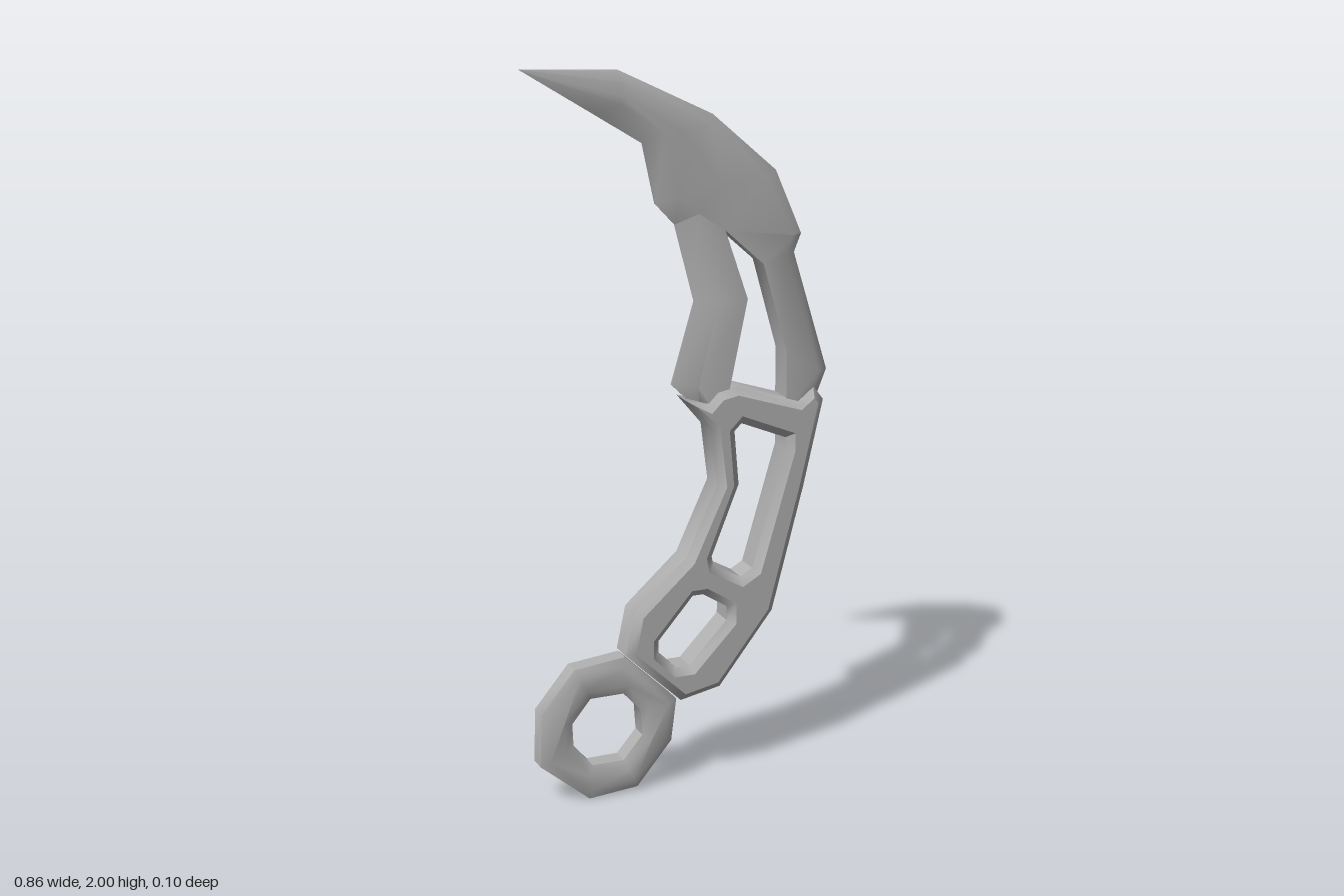
import * as THREE from 'three';
import { toCreasedNormals } from 'three/addons/utils/BufferGeometryUtils.js';

const steel = new THREE.MeshStandardMaterial({ color: 0xb0b0b0 });
steel.name = 'grey steel';

const toPoints = (list) => list.map(([x, y]) => new THREE.Vector2(x, y));

// Shallow chamfers shade softly, steeper edges stay sharp
function makeMesh(name, geometry) {
  const mesh = new THREE.Mesh(toCreasedNormals(geometry, 0.7), steel);
  mesh.name = name;
  return mesh;
}

// Plate with chamfered outline and holes, centred on z = 0.
// Outlines run counter-clockwise so that the hole walls face inwards.
function bevelledPlate(name, outline, holes, half, core, bevel) {
  const shape = new THREE.Shape(toPoints(outline));
  holes.forEach((h) => shape.holes.push(new THREE.Path(toPoints(h))));
  const geometry = new THREE.ExtrudeGeometry(shape, {
    depth: core * 2, bevelEnabled: true, bevelSegments: 1,
    bevelThickness: half - core, bevelSize: bevel, bevelOffset: -bevel,
  });
  geometry.translate(0, 0, -core);
  return makeMesh(name, geometry);
}

// Skin over cross-sections; every section runs from the cutting side to the
// spine as [x, y], with half thicknesses in zs, and is mirrored to the back
function loft(name, sections, zs) {
  const loops = sections.map((s) => {
    const tip = s.length === 1;
    const at = (i, side) => {
      const [x, y] = tip ? s[0] : s[i];
      return [x, y, tip ? 0 : zs[i] * side];
    };
    const index = zs.map((_, i) => i);
    return [...index.map((i) => at(i, 1)), ...index.reverse().map((i) => at(i, -1))];
  });
  const pos = [];
  const tri = (a, b, c) => pos.push(...a, ...b, ...c);
  const n = zs.length * 2;
  for (let k = 0; k < loops.length - 1; k++) {
    const toTip = sections[k + 1].length === 1;
    for (let i = 0; i < n; i++) {
      const j = (i + 1) % n;
      tri(loops[k][i], loops[k][j], loops[k + 1][j]);
      if (!toTip) tri(loops[k][i], loops[k + 1][j], loops[k + 1][i]);
    }
  }
  const geometry = new THREE.BufferGeometry();
  geometry.setAttribute('position', new THREE.Float32BufferAttribute(pos, 3));
  return makeMesh(name, geometry);
}

export function createModel() {
  const group = new THREE.Group();
  group.name = 'curvedKnife';
  const face = 0.035, spine = 0.018, edge = 0.002;

  // Blade: solid curved upper part, then two limbs around the slot
  const blade = new THREE.Group();
  blade.name = 'blade';
  blade.add(
    loft('bladeTip', [
      [[-0.01, 1.57], [0.045, 1.6], [0.12, 1.55], [0.315, 1.52], [0.345, 1.52]],
      [[-0.065, 1.63], [-0.01, 1.65], [0.11, 1.67], [0.24, 1.675], [0.27, 1.695]],
      [[-0.1, 1.79], [-0.05, 1.82], [0, 1.82], [0.08, 1.83], [0.09, 1.855]],
      [[-0.23, 1.873], [-0.17, 1.9], [-0.165, 1.92], [-0.16, 1.955], [-0.16, 1.98]],
      [[-0.43, 2]],
    ], [edge, face, face, face, spine]),
    loft('cuttingLimb', [
      [[0.06, 1.06], [0.09, 1.06], [0.14, 1.06]],
      [[-0.02, 1.14], [0.045, 1.13], [0.135, 1.12]],
      [[0.045, 1.36], [0.1, 1.36], [0.185, 1.36]],
      [[-0.01, 1.57], [0.045, 1.6], [0.12, 1.55]],
    ], [edge, face, face]),
    loft('spineLimb', [
      [[0.3, 1.04], [0.36, 1.04], [0.385, 1.04]],
      [[0.3, 1.2], [0.395, 1.14], [0.425, 1.14]],
      [[0.23, 1.45], [0.295, 1.47], [0.325, 1.47]],
      [[0.12, 1.55], [0.315, 1.52], [0.345, 1.52]],
    ], [face, face, spine]),
  );
  group.add(blade);

  // Skeleton handle with guard, one long and one short opening
  group.add(bevelledPlate('handle', [
    [0.08, 1.015], [0.1, 0.855], [0.01, 0.66], [-0.14, 0.525], [-0.165, 0.405],
    [-0.005, 0.252], [0.11, 0.275], [0.265, 0.475], [0.355, 0.82], [0.41, 1.06],
    [0.38, 1.1], [0.335, 1.065], [0.155, 1.125], [0.1, 1.115], [0.07, 1.085], [0.01, 1.1],
  ], [
    [[0.15, 1], [0.17, 1.02], [0.3, 0.965], [0.3, 0.93], [0.205, 0.605], [0.17, 0.585],
      [0.09, 0.63], [0.085, 0.655], [0.163, 0.85]],
    [[0.03, 0.55], [0.06, 0.55], [0.13, 0.505], [0.13, 0.465], [0.02, 0.35],
      [-0.02, 0.35], [-0.07, 0.4], [-0.07, 0.435]],
  ], 0.052, 0.033, 0.021));

  // Eight-sided finger ring
  group.add(bevelledPlate('fingerRing', [
    [-0.405, 0.27], [-0.41, 0.12], [-0.27, 0.003], [-0.13, 0.015],
    [-0.03, 0.135], [-0.015, 0.255], [-0.165, 0.4], [-0.31, 0.385],
  ], [
    [[-0.265, 0.295], [-0.17, 0.295], [-0.12, 0.24], [-0.115, 0.165],
      [-0.17, 0.1], [-0.26, 0.1], [-0.315, 0.165], [-0.318, 0.23]],
  ], 0.036, 0.025, 0.025));

  return group;
}
